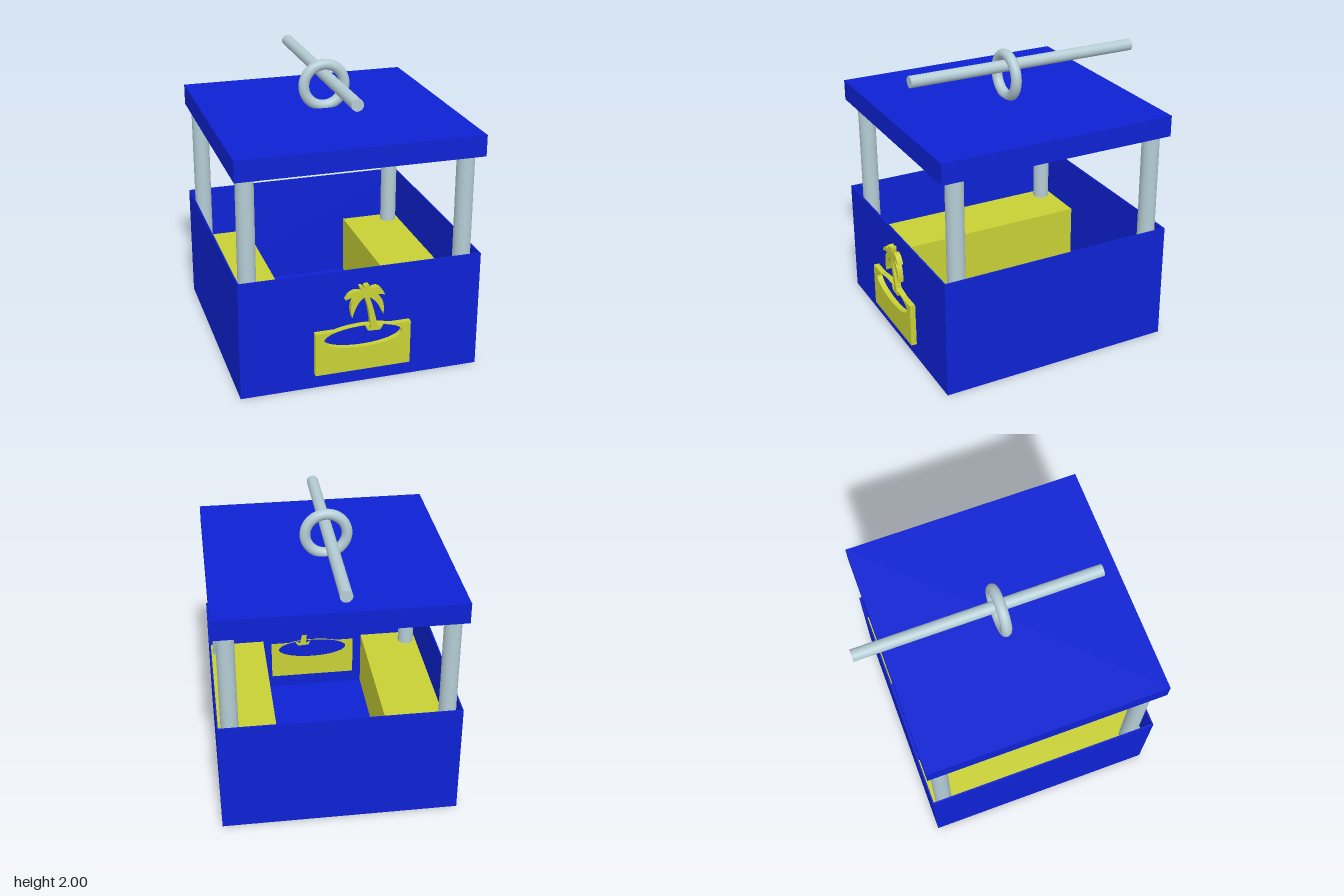
import * as THREE from 'three';

export function createModel() {
  const group = new THREE.Group();
  const mat = (name, color) => Object.assign(new THREE.MeshStandardMaterial({ color }), { name });
  const blue = mat('blue panel', 0x0d22d4);
  const yellow = mat('yellow', 0xc8d035);
  const steel = mat('pale steel', 0xb4ccd4);

  const add = (name, geometry, material, x = 0, y = 0, z = 0, parent = group) => {
    const mesh = new THREE.Mesh(geometry, material);
    mesh.name = name;
    mesh.position.set(x, y, z);
    parent.add(mesh);
    return mesh;
  };
  // box given by its minimum and maximum corners
  const box = (name, material, [x0, y0, z0], [x1, y1, z1]) =>
    add(name, new THREE.BoxGeometry(x1 - x0, y1 - y0, z1 - z0), material,
      (x0 + x1) / 2, (y0 + y1) / 2, (z0 + z1) / 2);

  const W = 0.83, FRONT = 0.91, BACK = -0.755, H = 0.835, T = 0.01, SEAT = 0.45;

  // thin open-topped cabin
  box('floor', blue, [-W, 0, BACK], [W, T, FRONT]);
  box('frontWall', blue, [-W, T, FRONT - T], [W, H, FRONT]);
  box('backWall', blue, [-W, T, BACK], [W, H, BACK + T]);
  box('roof', blue, [-W, 1.52, BACK], [W, 1.665, FRONT]);

  // side walls, benches and roof posts on both sides
  for (const s of [-1, 1]) {
    const side = s > 0 ? 'left' : 'right';
    const span = (name, m, a, b, y0, y1) => box(name, m,
      [Math.min(s * a, s * b), y0, BACK + T], [Math.max(s * a, s * b), y1, FRONT - T]);
    span(side + 'Wall', blue, W - T, W, T, H);
    span(side + 'Bench', yellow, 0.395, W - T, T, SEAT);
    for (const z of [0.788, -0.66]) {
      add(side + (z > 0 ? 'FrontPost' : 'BackPost'),
        new THREE.CylinderGeometry(0.06, 0.06, 1.52 - SEAT, 32), steel, s * 0.741, (1.52 + SEAT) / 2, z);
    }
  }

  // hanging ring and the cable rod running through it
  add('hangerRing', new THREE.TorusGeometry(0.144, 0.037, 20, 56), steel, 0, 1.82, 0.038);
  add('cableRod', new THREE.CylinderGeometry(0.041, 0.041, 1.705, 32), steel, 0.005, 1.89, -0.0975)
    .rotation.x = Math.PI / 2;

  // palm island emblem, set through the front wall
  const emblem = new THREE.Group();
  emblem.name = 'palmEmblem';
  emblem.position.z = FRONT - T - 0.003;
  group.add(emblem);
  const relief = (name, shape) => add(name,
    new THREE.ExtrudeGeometry(shape, { depth: 0.053, bevelEnabled: false, curveSegments: 40 }),
    yellow, 0, 0, 0, emblem);

  // plate with an oval opening and a thin rim above it
  const plate = new THREE.Shape();
  plate.moveTo(-0.33, 0.11);
  plate.lineTo(0.33, 0.11);
  plate.lineTo(0.33, 0.42);
  plate.lineTo(0.19, 0.42);
  plate.absellipse(0, 0.36, 0.275, 0.083, 0.808, Math.PI - 0.808, false, 0);
  plate.lineTo(-0.33, 0.42);
  plate.holes.push(new THREE.Path().absellipse(0, 0.36, 0.27, 0.078, 0, Math.PI * 2, true, 0));
  relief('emblemPlate', plate);

  // curved trunk
  const trunk = new THREE.Shape();
  trunk.moveTo(0.05, 0.4);
  trunk.lineTo(0.098, 0.4);
  trunk.quadraticCurveTo(0.075, 0.55, 0.03, 0.66);
  trunk.lineTo(0.004, 0.65);
  trunk.quadraticCurveTo(0.045, 0.53, 0.05, 0.4);
  relief('palmTrunk', trunk);

  // grass tuft at the trunk base
  const tuft = new THREE.Shape([[0.03, 0.395], [0.115, 0.39], [0.14, 0.43], [0.1, 0.415],
    [0.075, 0.43], [0.05, 0.412], [0.015, 0.432]].map(p => new THREE.Vector2(...p)));
  relief('grassTuft', tuft);

  // fronds: tip, upper control point, lower control point
  const fronds = [
    [-0.125, 0.64, -0.08, 0.73, -0.06, 0.67],
    [-0.08, 0.505, -0.12, 0.66, -0.045, 0.63],
    [-0.03, 0.725, 0.0, 0.735, -0.02, 0.68],
    [0.035, 0.73, -0.02, 0.74, 0.04, 0.69],
    [0.145, 0.645, 0.1, 0.76, 0.07, 0.67],
    [0.135, 0.505, 0.155, 0.67, 0.085, 0.63],
  ];
  for (const [tx, ty, ux, uy, lx, ly] of fronds) {
    const leaf = new THREE.Shape();
    leaf.moveTo(0.012, 0.672);
    leaf.quadraticCurveTo(ux, uy, tx, ty);
    leaf.quadraticCurveTo(lx, ly, 0.015, 0.648);
    relief('palmFrond', leaf);
  }

  return group;
}
